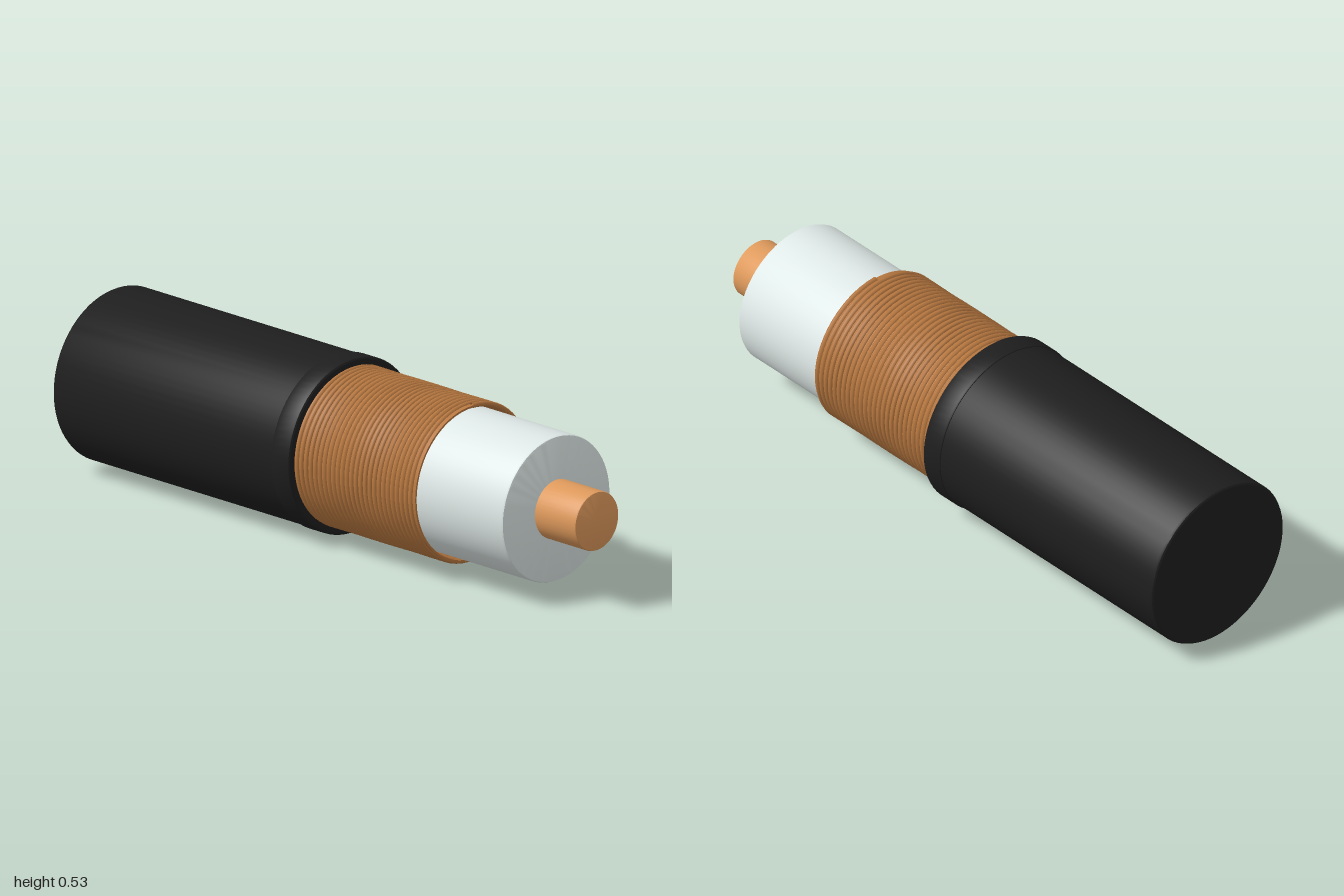
import * as THREE from 'three';
import { toCreasedNormals } from 'three/addons/utils/BufferGeometryUtils.js';

const paint = (color) => new THREE.MeshStandardMaterial({ color, side: THREE.DoubleSide });

// Turned part along x; profile is a list of [x, radius]
function turned(name, profile, material, sides = 72) {
  const points = profile.map(([x, r]) => new THREE.Vector2(r, x));
  const geometry = new THREE.LatheGeometry(points, sides).rotateZ(-Math.PI / 2);
  const mesh = new THREE.Mesh(toCreasedNormals(geometry, 0.5), material);
  mesh.name = name;
  return mesh;
}

// Closed rod with small bevels at both ends
const rod = (x0, x1, r, b) => [
  [x0, 0], [x0, r - b], [x0 + b * 0.3, r - b * 0.3], [x0 + b, r],
  [x1 - b, r], [x1 - b * 0.3, r - b * 0.3], [x1, r - b], [x1, 0],
];

class Helix extends THREE.Curve {
  constructor(x0, x1, radius, turns) {
    super();
    Object.assign(this, { x0, x1, radius, turns });
  }
  getPoint(t, target = new THREE.Vector3()) {
    const a = t * this.turns * Math.PI * 2;
    return target.set(
      this.x0 + (this.x1 - this.x0) * t,
      Math.cos(a) * this.radius,
      Math.sin(a) * this.radius
    );
  }
}

export function createModel() {
  const model = new THREE.Group();
  model.name = 'coaxialCable';
  const cable = new THREE.Group();
  cable.name = 'cable';
  const rubber = paint(0x1e1e1e);
  const copper = paint(0xb87840);
  const brightCopper = paint(0xdf9a5c);
  const insulation = paint(0xdfe9e7);

  // Outer jacket: closed at the back, open at the front
  cable.add(turned('jacket', [
    [-0.989, 0], [-0.989, 0.255], [-0.986, 0.26], [-0.98, 0.263],
    [-0.02, 0.263], [-0.02, 0.243], [-0.12, 0.243],
  ], rubber));

  // Raised collar around the jacket's mouth
  cable.add(turned('jacketCollar', [
    [-0.086, 0.258], [-0.084, 0.265], [-0.08, 0.267], [-0.02, 0.267],
    [-0.015, 0.265], [-0.012, 0.26], [-0.012, 0.243], [-0.03, 0.243],
  ], rubber));

  // Shield: thin sleeve wound with fine wire
  cable.add(turned('shieldSleeve', [
    [-0.1, 0.231], [-0.1, 0.237], [0.479, 0.237], [0.479, 0.231], [-0.1, 0.231],
  ], copper));
  const turns = 27;
  const winding = new THREE.Mesh(
    new THREE.TubeGeometry(new Helix(-0.03, 0.475, 0.236, turns), turns * 56, 0.0085, 6),
    copper
  );
  winding.name = 'shieldWinding';
  cable.add(winding);

  // Insulator and centre conductor
  cable.add(turned('insulator', rod(-0.1, 0.825, 0.222, 0.008), insulation));
  cable.add(turned('conductor', rod(0.7, 0.992, 0.09, 0.006), brightCopper, 48));

  // The cable lies slightly turned about the vertical
  cable.rotation.y = -0.0425;
  cable.position.set(0, 0.27, 0.022);
  model.add(cable);
  return model;
}
